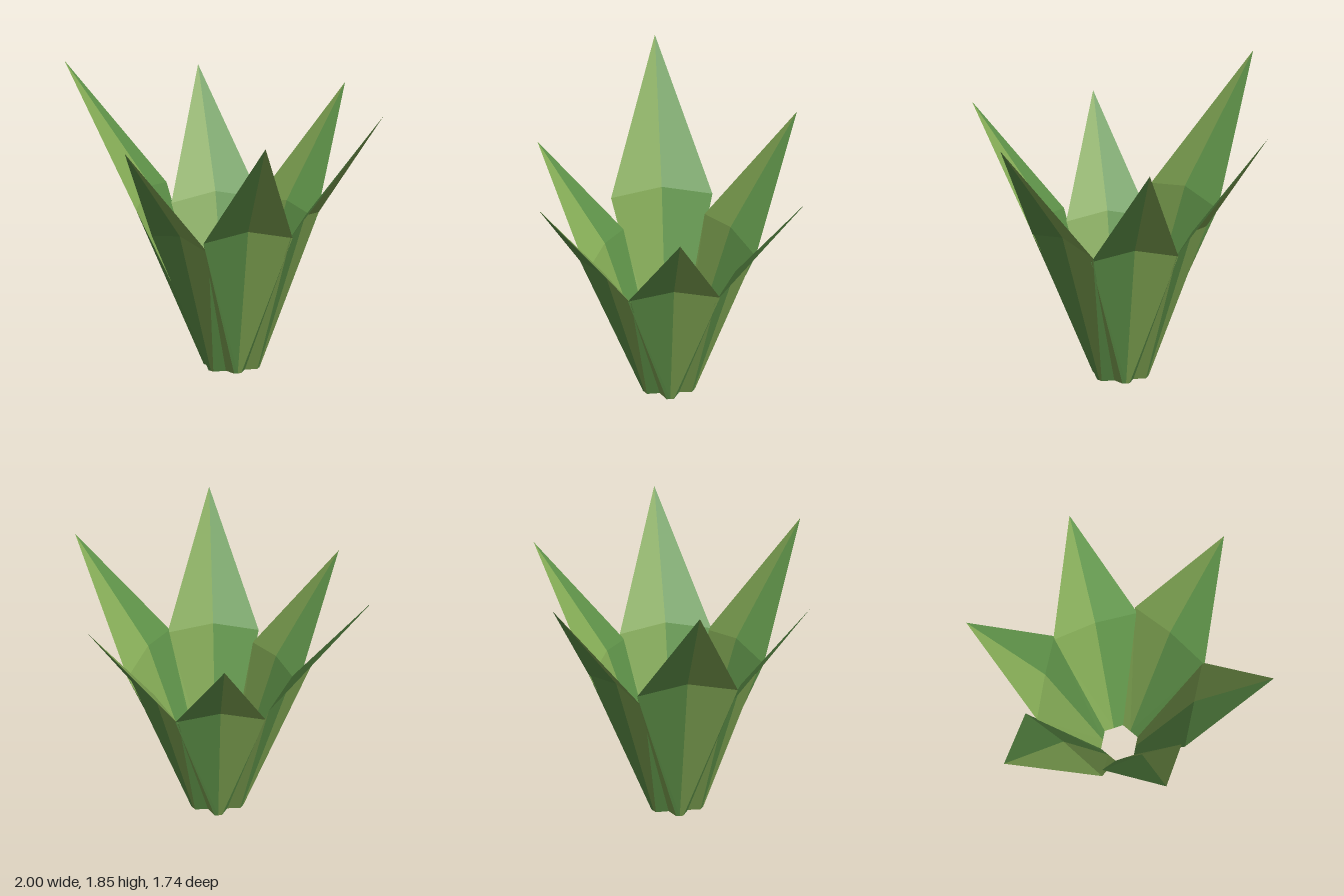
import * as THREE from 'three';

const CENTRE = { x: 0.05, z: 0.025 };
const HEIGHTS = [1.66, 1.53, 1.85, 1.645, 1.62, 1.68];
const FIRST_ANGLE = THREE.MathUtils.degToRad(47.3);

const leafMaterial = (color) => new THREE.MeshStandardMaterial({
  color, flatShading: true, side: THREE.DoubleSide,
});

// Flat-shaded mesh from a list of triangles
function facets(name, triangles, material) {
  const geometry = new THREE.BufferGeometry().setFromPoints(triangles.flat());
  geometry.computeVertexNormals();
  const mesh = new THREE.Mesh(geometry, material);
  mesh.name = name;
  return mesh;
}

// Local leaf space: x points outward, y up, z sideways
function createLeaf(h, materials) {
  const leaf = new THREE.Group();
  leaf.name = 'leaf';
  const V = (x, y, z) => new THREE.Vector3(x, y, z);

  for (const side of [1, -1]) {
    const tip = V(0.58 * h, h, 0);
    const fold = V(0.281 * h, 0.595 * h, 0);
    const corner = V(0.279 * h, 0.56 * h, side * 0.168 * h);
    const outerMid = V(0.172, 0, 0);
    const outer = V(0.172, 0, side * 0.022);
    const innerMid = V(0.102, 0, 0);
    const inner = V(0.102, 0, side * 0.059);
    // Reverse the corner order on the mirrored half
    const turn = (list) => list.map(([a, b, c]) => (side > 0 ? [a, b, c] : [a, c, b]));

    const blade = turn([
      [fold, tip, corner],
      [outerMid, fold, corner], [outerMid, corner, outer],
      [innerMid, corner, fold], [innerMid, inner, corner],
      [innerMid, outerMid, outer], [innerMid, outer, inner],
    ]);
    const wall = turn([[outer, corner, inner]]);
    const label = side > 0 ? 'left' : 'right';
    leaf.add(facets(label + 'Blade', blade, side > 0 ? materials.green : materials.lime));
    leaf.add(facets(label + 'StemWall', wall, side > 0 ? materials.lime : materials.green));
  }
  return leaf;
}

export function createModel() {
  const plant = new THREE.Group();
  plant.name = 'plant';
  const materials = { green: leafMaterial(0x5f9349), lime: leafMaterial(0x82a854) };

  // Ring of six leaves of differing heights
  HEIGHTS.forEach((h, i) => {
    const leaf = createLeaf(h, materials);
    leaf.position.set(CENTRE.x, 0, CENTRE.z);
    leaf.rotation.y = -(FIRST_ANGLE + (i * Math.PI) / 3);
    plant.add(leaf);
  });
  return plant;
}
